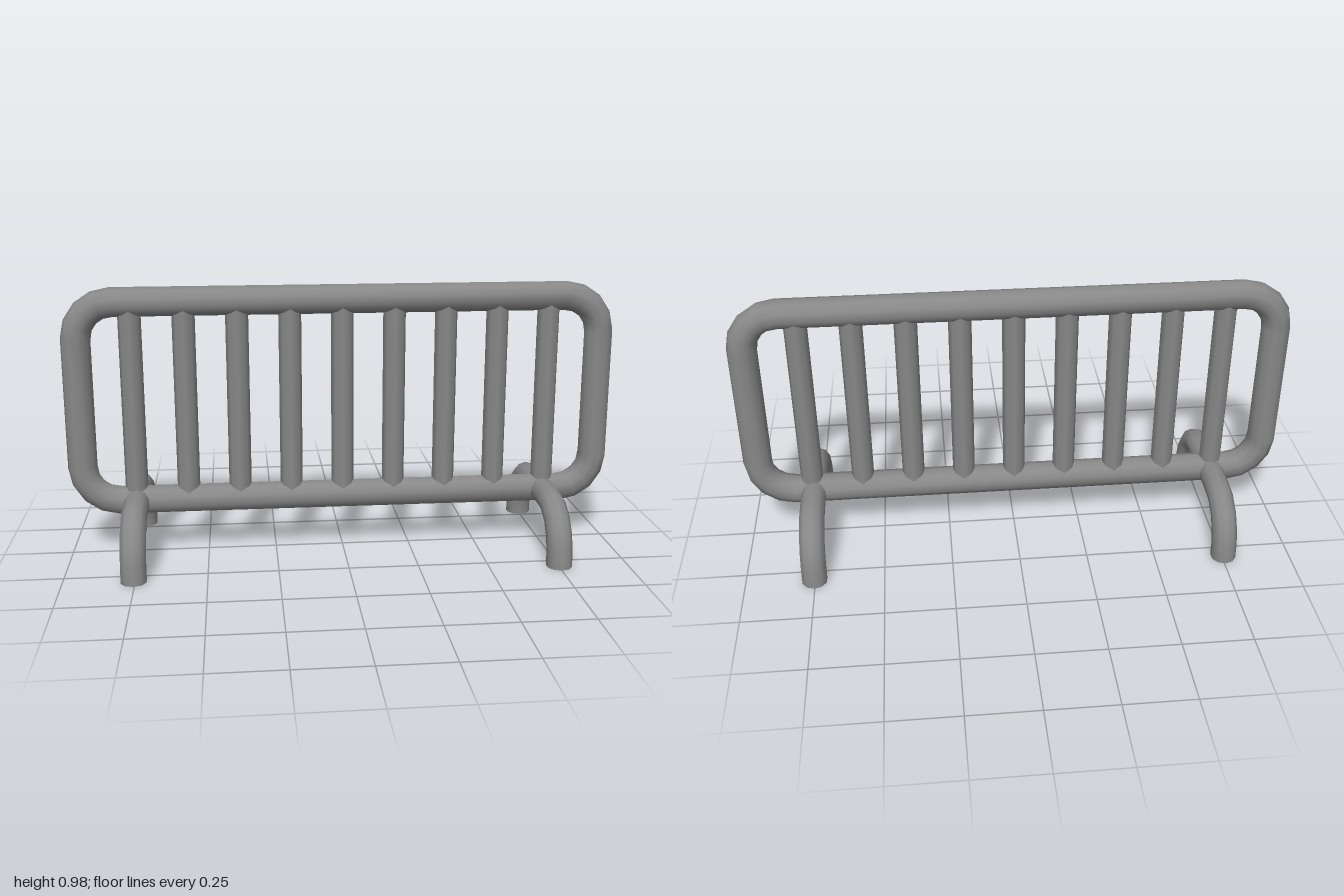
import * as THREE from 'three';

// Sweep a round section along a flat path; axis is the normal of the path's plane.
function sweep(points, axis, radius, sides, closed) {
  const pos = [], index = [], count = points.length;
  points.forEach((p, i) => {
    const prev = closed ? points[(i + count - 1) % count] : points[Math.max(i - 1, 0)];
    const next = closed ? points[(i + 1) % count] : points[Math.min(i + 1, count - 1)];
    // average the two neighbouring directions
    const t = new THREE.Vector3();
    if (p !== prev) t.add(p.clone().sub(prev).normalize());
    if (p !== next) t.add(next.clone().sub(p).normalize());
    t.normalize();
    const n = axis.clone().cross(t);
    for (let j = 0; j < sides; j++) {
      const a = (j / sides) * Math.PI * 2;
      const v = p.clone().addScaledVector(n, radius * Math.cos(a)).addScaledVector(axis, radius * Math.sin(a));
      pos.push(v.x, v.y, v.z);
    }
  });
  const rings = closed ? count : count - 1;
  for (let i = 0; i < rings; i++) {
    for (let j = 0; j < sides; j++) {
      const a = i * sides + j, b = i * sides + (j + 1) % sides;
      const c = ((i + 1) % count) * sides + j, d = ((i + 1) % count) * sides + (j + 1) % sides;
      index.push(a, b, c, b, d, c);
    }
  }
  const g = new THREE.BufferGeometry();
  g.setAttribute('position', new THREE.Float32BufferAttribute(pos, 3));
  g.setIndex(index);
  g.computeVertexNormals();
  return g;
}

export function createModel() {
  const group = new THREE.Group();
  const steel = new THREE.MeshStandardMaterial({ color: 0x888888, side: THREE.DoubleSide });
  steel.name = 'grey steel';

  const add = (name, geometry, x = 0, y = 0) => {
    const mesh = new THREE.Mesh(geometry, steel);
    mesh.name = name;
    mesh.position.set(x, y, 0);
    group.add(mesh);
  };

  // Rounded rectangular frame
  const halfW = 0.947, bottom = 0.2, top = 0.93, corner = 0.13, steps = 4;
  const centres = [
    [halfW - corner, top - corner], [-halfW + corner, top - corner],
    [-halfW + corner, bottom + corner], [halfW - corner, bottom + corner],
  ];
  const loop = [];
  centres.forEach(([cx, cy], k) => {
    for (let s = 0; s <= steps; s++) {
      const a = (k + s / steps) * Math.PI / 2;
      loop.push(new THREE.Vector3(cx + corner * Math.cos(a), cy + corner * Math.sin(a), 0));
    }
  });
  add('frame', sweep(loop, new THREE.Vector3(0, 0, 1), 0.053, 10, true));

  // Upright bars, sunk into the frame at both ends
  const bar = new THREE.CylinderGeometry(0.041, 0.041, top - bottom, 8, 1, true);
  for (let i = 0; i < 9; i++) add('bar' + (i + 1), bar, (i - 4) * 0.189, (top + bottom) / 2);

  // Arched feet, open at the ground
  const half = [[0.301, 0], [0.298, 0.06], [0.282, 0.11], [0.25, 0.157], [0.195, 0.192], [0.125, 0.2]];
  const arch = [
    ...half.map(([z, y]) => new THREE.Vector3(0, y, z)),
    ...half.slice().reverse().map(([z, y]) => new THREE.Vector3(0, y, -z)),
  ];
  const foot = sweep(arch, new THREE.Vector3(1, 0, 0), 0.046, 10, false);
  // level the open ends with the ground
  const p = foot.attributes.position;
  for (let i = 0; i < p.count; i++) {
    if (i < 10 || i >= p.count - 10) p.setY(i, 0);
  }
  add('leftFoot', foot, 0.752);
  add('rightFoot', foot, -0.755);

  return group;
}
